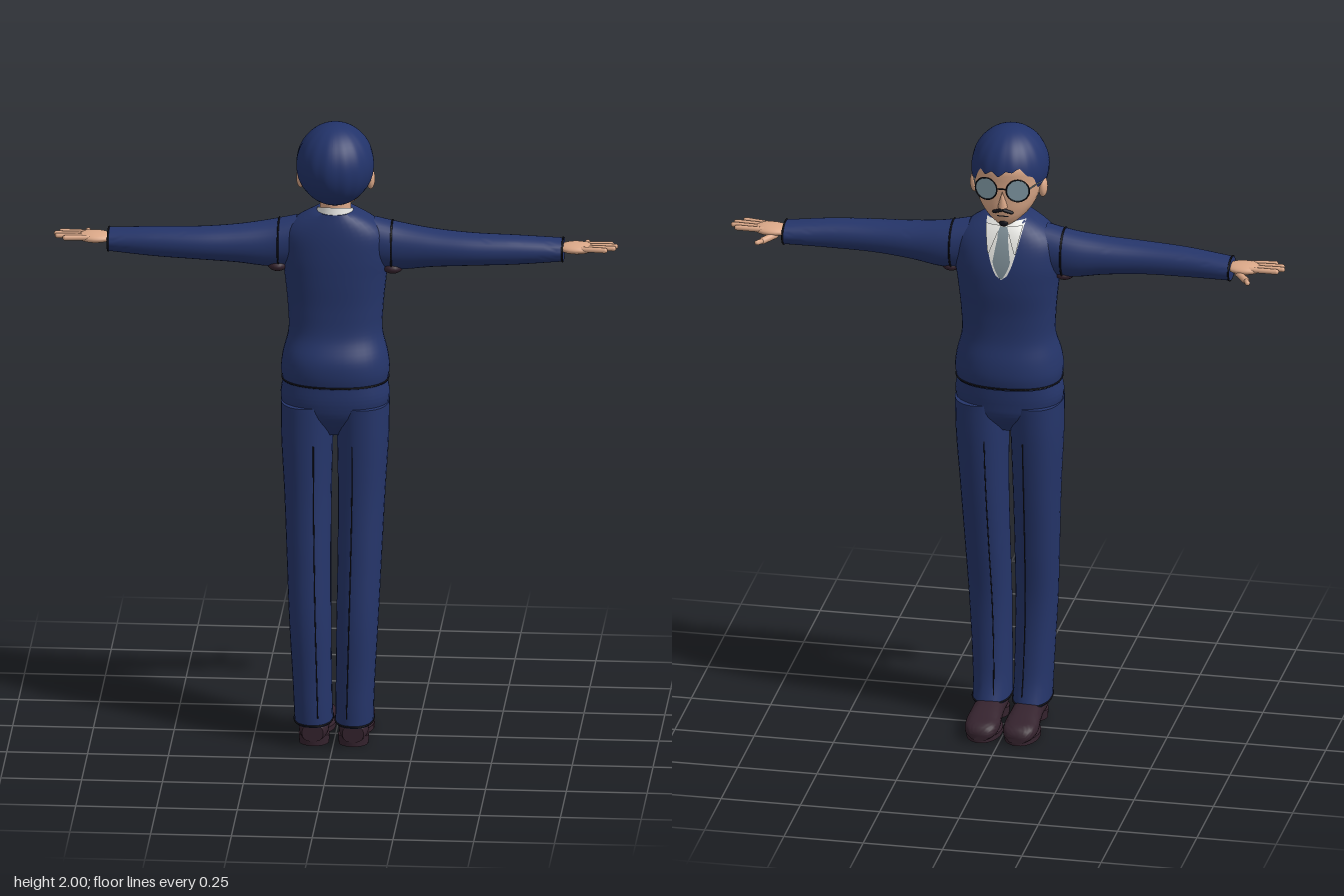
import * as THREE from 'three';
import { mergeVertices, toCreasedNormals } from 'three/addons/utils/BufferGeometryUtils.js';

const { smoothstep, lerp } = THREE.MathUtils;

function paint(name, color, side = THREE.FrontSide) {
  const m = new THREE.MeshStandardMaterial({ color, side });
  m.name = name;
  return m;
}

// Surface from a rule fn(u, v) -> [x, y, z]; it faces the dv x du side
function grid(fn, nu, nv) {
  const pos = [], index = [];
  for (let j = 0; j <= nv; j++)
    for (let i = 0; i <= nu; i++) pos.push(...fn(i / nu, j / nv));
  for (let j = 0; j < nv; j++)
    for (let i = 0; i < nu; i++) {
      const a = j * (nu + 1) + i, b = a + nu + 1;
      index.push(a, b, a + 1, b, b + 1, a + 1);
    }
  let g = new THREE.BufferGeometry();
  g.setAttribute('position', new THREE.Float32BufferAttribute(pos, 3));
  g.setIndex(index);
  g = mergeVertices(g, 1e-5);
  g.computeVertexNormals();
  return g;
}

// Rings are [t, uMin, uMax, vMin, vMax], blended smoothly along t
function sampler(rings) {
  const spline = new THREE.CubicInterpolant(rings.map(r => r[0]), rings.flatMap(r => r.slice(1)), 4);
  return t => {
    const [a, b, c, d] = spline.evaluate(t);
    return { cu: (a + b) / 2, ru: (b - a) / 2, cv: (c + d) / 2, rv: (d - c) / 2 };
  };
}
const ORDER = {
  y: (u, t, v) => [u, t, v],
  x: (u, t, v) => [t, v, u],
  z: (u, t, v) => [v, u, t],
};
function ringPoint(rings, t, angle, grow = 1, axis = 'y', p = 2.3) {
  const { cu, ru, cv, rv } = sampler(rings)(t);
  const c = Math.cos(angle), s = Math.sin(angle);
  const f = k => Math.sign(k) * Math.pow(Math.abs(k), 2 / p);
  return ORDER[axis](cu + ru * grow * f(c), t, cv + rv * grow * f(s));
}
// Closed body through the rings, capped at both ends
function loft(rings, axis = 'y', p = 2.3, nu = 32, nv = 30) {
  const t0 = rings[0][0], t1 = rings[rings.length - 1][0];
  const g = grid((u, v) => {
    const row = Math.round(v * (nv + 2)), cap = row === 0 || row === nv + 2;
    const k = Math.min(Math.max(row - 1, 0), nv) / nv;
    return ringPoint(rings, lerp(t0, t1, k), u * Math.PI * 2, cap ? 0 : 1, axis, p);
  }, nu, nv + 2);
  return toCreasedNormals(g, 0.9);
}
// Thin plate lying on the face side (-z) of a lofted body
function patch(rings, y0, y1, left, right, lift, p = 2.3) {
  const at = sampler(rings);
  return grid((u, v) => {
    const y = lerp(y0, y1, v), x = lerp(left(v), right(v), u);
    const { cu, ru, cv, rv } = at(y);
    const q = Math.min(Math.abs((x - cu) / ru), 0.97);
    return [x, y, cv - rv * Math.pow(1 - Math.pow(q, p), 1 / p) - lift];
  }, 10, 14);
}
function line(points, r = 0.0025, closed = false) {
  const curve = new THREE.CatmullRomCurve3(points.map(q => new THREE.Vector3(...q)), closed);
  return new THREE.TubeGeometry(curve, 60, r, 5, closed);
}
function hoop(rings, t, axis, p) {
  return line(Array.from({ length: 24 }, (_, i) => ringPoint(rings, t, i * Math.PI / 12, 1.005, axis, p)), 0.003, true);
}

const TORSO = [
  [1.165, -.162, .162, -.108, .14], [1.2, -.168, .168, -.115, .147], [1.25, -.163, .163, -.113, .144],
  [1.32, -.146, .146, -.1, .115], [1.4, -.148, .148, -.1, .108], [1.5, -.158, .158, -.11, .11],
  [1.58, -.168, .168, -.108, .11], [1.65, -.158, .158, -.09, .105], [1.69, -.115, .115, -.07, .098],
  [1.72, -.062, .062, -.045, .09]];
const HIPS = [[1.0, -.05, .05, -.03, .08], [1.06, -.145, .145, -.085, .125],
  [1.11, -.168, .168, -.096, .138], [1.18, -.16, .16, -.102, .138]];
const LEG = [[.07, .004, .122, -.028, .158], [.13, .005, .124, -.01, .16], [.2, .006, .127, -.002, .16],
  [.4, .008, .138, 0, .162], [.6, .01, .147, -.03, .15], [.8, .01, .156, -.063, .138],
  [1.0, .006, .167, -.088, .136], [1.1, .004, .168, -.094, .136]];
const ARM = [[.12, -.06, .07, 1.53, 1.69], [.2, -.062, .072, 1.525, 1.672], [.3, -.05, .076, 1.538, 1.657],
  [.42, -.038, .078, 1.547, 1.648], [.56, -.038, .066, 1.552, 1.642], [.705, -.052, .046, 1.56, 1.63]];
const HEAD = [[1.708, -.02, .02, -.07, -.035], [1.725, -.046, .046, -.08, .01], [1.76, -.079, .079, -.088, .06],
  [1.8, -.097, .097, -.09, .08], [1.85, -.106, .106, -.092, .1], [1.9, -.106, .106, -.09, .1],
  [1.95, -.08, .08, -.055, .09], [1.975, -.045, .045, -.02, .06]];
const SHOE = [[-.163, .008, .04, .03, .088], [-.145, .008, .055, .015, .105], [-.1, .008, .066, .007, .114],
  [-.04, .01, .08, .012, .11], [.03, .016, .088, .016, .106], [.1, .016, .085, .018, .106], [.13, .016, .07, .03, .095]];

export function createModel() {
  const root = new THREE.Group();
  const D = THREE.DoubleSide;
  const navy = paint('navy cloth', 0x25356a), hairNavy = paint('navy hair', 0x22336a, D);
  const skin = paint('skin', 0xdba888), shoeBrown = paint('dark shoe leather', 0x35232e);
  const white = paint('white shirt', 0xe8e8e4, D), grey = paint('grey tie', 0x7c8c94, D);
  const lensBlue = paint('lens glass', 0x7f98a3, D), black = paint('black line', 0x12121a, D);

  const add = (name, geo, mat, parent = root) => {
    const m = new THREE.Mesh(geo, mat);
    m.name = name;
    parent.add(m);
    return m;
  };
  const ball = (name, mat, parent, x, y, z, sx, sy, sz) => {
    const m = add(name, new THREE.SphereGeometry(1, 20, 14), mat, parent);
    m.position.set(x, y, z);
    m.scale.set(sx, sy, sz);
    return m;
  };
  const rod = (name, mat, parent, a, b, r) => {
    const p = new THREE.Vector3(...a), q = new THREE.Vector3(...b), d = q.clone().sub(p);
    const m = add(name, new THREE.CapsuleGeometry(r, d.length(), 4, 10), mat, parent);
    m.position.copy(p).add(q).multiplyScalar(0.5);
    m.quaternion.setFromUnitVectors(new THREE.Vector3(0, 1, 0), d.normalize());
    return m;
  };

  // Sweater, shirt front and tie
  add('sweater', loft(TORSO, 'y', 2.3, 40, 40), navy);
  add('sweaterHem', hoop(TORSO, 1.172), black);
  add('shirtFront', patch(TORSO, 1.54, 1.715, v => -.062 * Math.sqrt(v), v => .062 * Math.sqrt(v), .003), white);
  const tieWidth = v => v < .75 ? .004 + .032 * Math.min(v * 3, 1) * (1 - .75 * v) : .017;
  add('tie', patch(TORSO, 1.545, 1.7, v => -tieWidth(v), tieWidth, .007), grey);
  for (const s of [-1, 1]) {
    const inner = v => s * (.04 - .03 * v), outer = v => s * (.044 + .014 * v);
    add('collarFlap', patch(TORSO, 1.625, 1.705, s < 0 ? outer : inner, s < 0 ? inner : outer, .011), white);
  }
  // Collar band, higher at the back of the neck
  add('collar', grid((u, v) => {
    const a = u * Math.PI * 2, r = lerp(.066, .055, v), z = .025 + Math.sin(a) * (r + .004);
    return [Math.cos(a) * r, lerp(1.67, 1.725, v) + (z - .025) * .3, z];
  }, 32, 4), white);
  const neck = add('neck', new THREE.CylinderGeometry(.047, .05, .14, 24), skin);
  neck.position.set(0, 1.71, .02);

  // Trousers seat
  add('trousersSeat', loft(HIPS), navy);

  // Limbs, built once for +x and mirrored
  for (const s of [1, -1]) {
    const half = new THREE.Group();
    half.name = s > 0 ? 'leftLimbs' : 'rightLimbs';
    half.scale.x = s;
    root.add(half);

    add('sleeve', loft(ARM, 'x', 2.1), navy, half);
    add('sleeveSeam', hoop(ARM, .175, 'x', 2.1), black, half);
    add('cuffEdge', hoop(ARM, .703, 'x', 2.1), black, half);
    ball('armpitLining', shoeBrown, half, .178, 1.535, .01, .034, .022, .05);

    ball('palm', skin, half, .745, 1.602, -.004, .058, .017, .042);
    [[-.028, -.03, .85], [-.01, -.008, .865], [.009, .013, .86], [.024, .034, .835]].forEach(([z0, z1, x]) =>
      rod('finger', skin, half, [.765, 1.606, z0], [x, 1.607, z1], .0085));
    rod('thumb', skin, half, [.73, 1.592, -.03], [.762, 1.585, -.065], .011);
    rod('thumbTip', skin, half, [.762, 1.585, -.065], [.773, 1.59, -.095], .008);

    add('trouserLeg', loft(LEG, 'y', 2.3, 32, 40), navy, half);
    add('trouserHem', hoop(LEG, .075), black, half);
    for (const a of [1.85, -1.85]) {
      const pts = Array.from({ length: 12 }, (_, i) => ringPoint(LEG, .1 + i * .08, a));
      add('trouserCrease', line(pts, .0018), black, half);
    }

    add('shoe', loft(SHOE, 'z', 2.6), shoeBrown, half);
    const sole = add('sole', new THREE.CylinderGeometry(.055, .055, .016, 28), shoeBrown, half);
    sole.position.set(.06, .008, -.075);
    sole.scale.z = 1.6;
    const heel = add('heel', new THREE.CylinderGeometry(.048, .046, .03, 24), shoeBrown, half);
    heel.position.set(.061, .015, .08);

    // Ear, eye, brow and one side of the glasses
    ball('ear', skin, half, .108, 1.815, .005, .014, .034, .022);
    add('eye', patch(HEAD, 1.825, 1.85, v => .05 - .02 * Math.sin(Math.PI * v), v => .05 + .02 * Math.sin(Math.PI * v), .002), white, half);
    add('pupil', patch(HEAD, 1.826, 1.849, v => .048 - .009 * Math.sin(Math.PI * v), v => .048 + .009 * Math.sin(Math.PI * v), .004), black, half);
    const lens = new THREE.Group();
    lens.name = 'lens';
    lens.position.set(.05, 1.838, -.1);
    lens.rotation.y = Math.PI - .2;
    half.add(lens);
    add('lensGlass', new THREE.CircleGeometry(.035, 28), lensBlue, lens);
    add('lensRim', new THREE.TorusGeometry(.036, .0022, 6, 32), black, lens);
    rod('temple', grey, half, [.086, 1.845, -.09], [.113, 1.84, .005], .0022);
    rod('moustache', black, half, [.004, 1.766, -.092], [.028, 1.757, -.086], .0055);
  }

  // Head and face
  add('head', loft(HEAD, 'y', 2.2, 36, 36), skin);
  const nose = add('nose', new THREE.ConeGeometry(.016, .055, 12), skin);
  nose.position.set(0, 1.803, -.092);
  nose.rotation.x = -.2;
  rod('glassesBridge', black, root, [-.015, 1.842, -.106], [.015, 1.842, -.106], .0022);
  add('mouth', patch(HEAD, 1.742, 1.746, () => -.018, () => .018, .002), black);
  ball('chinBeard', black, root, 0, 1.716, -.074, .014, .012, .008);

  // Hair: a shell whose lower edge is short over the face and long at the nape
  const wave = a => Math.abs(((a * 2.6) % 1 + 1) % 1 - .5) * 2;
  add('hair', grid((u, v) => {
    const turn = (u - .5) * Math.PI * 2, a = Math.abs(turn);
    const edge = 79 + 26 * smoothstep(a, .6, 1.15) + 54 * smoothstep(a, 1.5, 2.05)
      + 7 * wave(turn + .1) * (a < 1.3 ? 1 : .8) - 7 * Math.exp(-Math.pow((turn - .35) * 5, 2));
    const th = THREE.MathUtils.degToRad(edge) * (1 - v);
    const puff = 1 + .014 * (wave(turn + .1) - .5) * Math.sin(th);
    const r = Math.sin(th) * puff;
    return [-Math.sin(turn) * r * .12, 1.87 + Math.cos(th) * .13, .03 - Math.cos(turn) * r * .132];
  }, 120, 28), hairNavy);
  return root;
}
